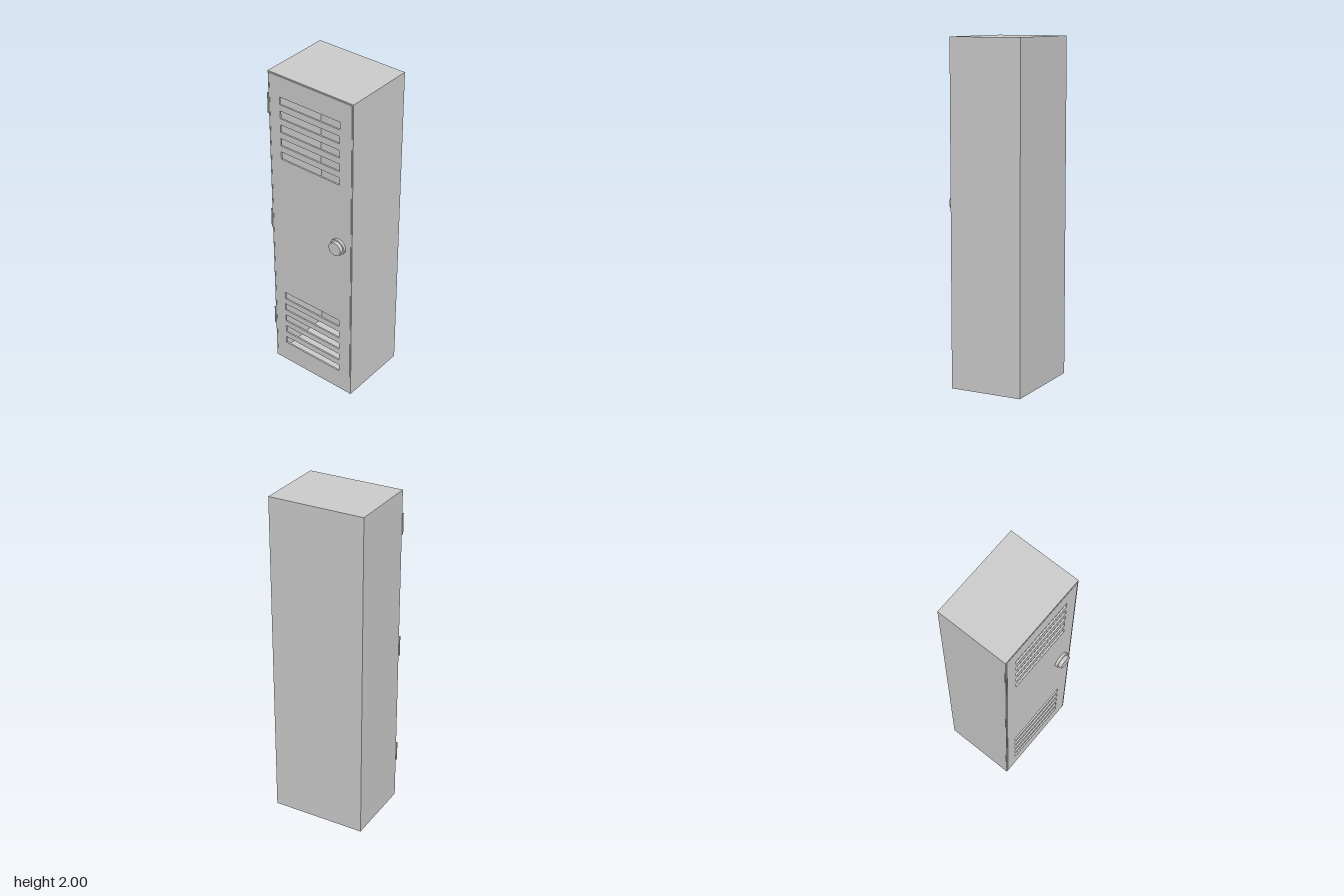
import * as THREE from 'three';

const material = new THREE.MeshStandardMaterial({ color: 0xcccccc });

function addMesh(parent, name, geometry, x = 0, y = 0, z = 0) {
  const mesh = new THREE.Mesh(geometry, material);
  mesh.name = name;
  mesh.position.set(x, y, z);
  parent.add(mesh);
  return mesh;
}

// Adds a rectangle to a Shape or Path
function rect(path, x0, y0, x1, y1) {
  path.moveTo(x0, y0);
  path.lineTo(x1, y0);
  path.lineTo(x1, y1);
  path.lineTo(x0, y1);
  path.closePath();
  return path;
}

export function createModel() {
  const group = new THREE.Group();
  group.name = 'locker';

  const left = -0.285, right = 0.293, height = 2;
  const back = -0.24, front = 0.198, wall = 0.007;

  // Hollow cabinet: four walls as one frame, closed by a back panel
  const frame = rect(new THREE.Shape(), left, 0, right, height);
  frame.holes.push(rect(new THREE.Path(), left + wall, wall, right - wall, height - wall));
  addMesh(group, 'cabinetWalls',
    new THREE.ExtrudeGeometry(frame, { depth: front - back, bevelEnabled: false }), 0, 0, back);
  addMesh(group, 'backPanel',
    new THREE.BoxGeometry(right - left - 2 * wall, height - 2 * wall, wall),
    (left + right) / 2, height / 2, back + wall / 2);

  // Inset door with two banks of five vent slots
  const door = rect(new THREE.Shape(), left + 0.01, 0.008, right - 0.008, height - 0.008);
  for (const lowest of [0.162, 1.498]) {
    for (let i = 0; i < 5; i++) {
      const y = lowest + i * 0.0864;
      door.holes.push(rect(new THREE.Path(), -0.205, y - 0.0235, 0.205, y + 0.0235));
    }
  }
  addMesh(group, 'door',
    new THREE.ExtrudeGeometry(door, { depth: 0.01, bevelEnabled: false }), 0, 0, 0.19);

  // Hinge barrels down the door's edge
  for (const y of [0.317, 1.042, 1.802]) {
    addMesh(group, 'hinge', new THREE.CylinderGeometry(0.004, 0.004, 0.125, 16), -0.289, y, 0.199);
  }

  // Round knob: wide base with a narrower grip
  const knob = new THREE.Group();
  knob.name = 'knob';
  knob.position.set(0.2, 1.066, 0.2);
  knob.rotation.x = Math.PI / 2;
  addMesh(knob, 'knobBase', new THREE.CylinderGeometry(0.05, 0.05, 0.016, 32), 0, 0.008, 0);
  addMesh(knob, 'knobGrip', new THREE.CylinderGeometry(0.041, 0.041, 0.022, 32), 0, 0.027, 0);
  group.add(knob);

  return group;
}
